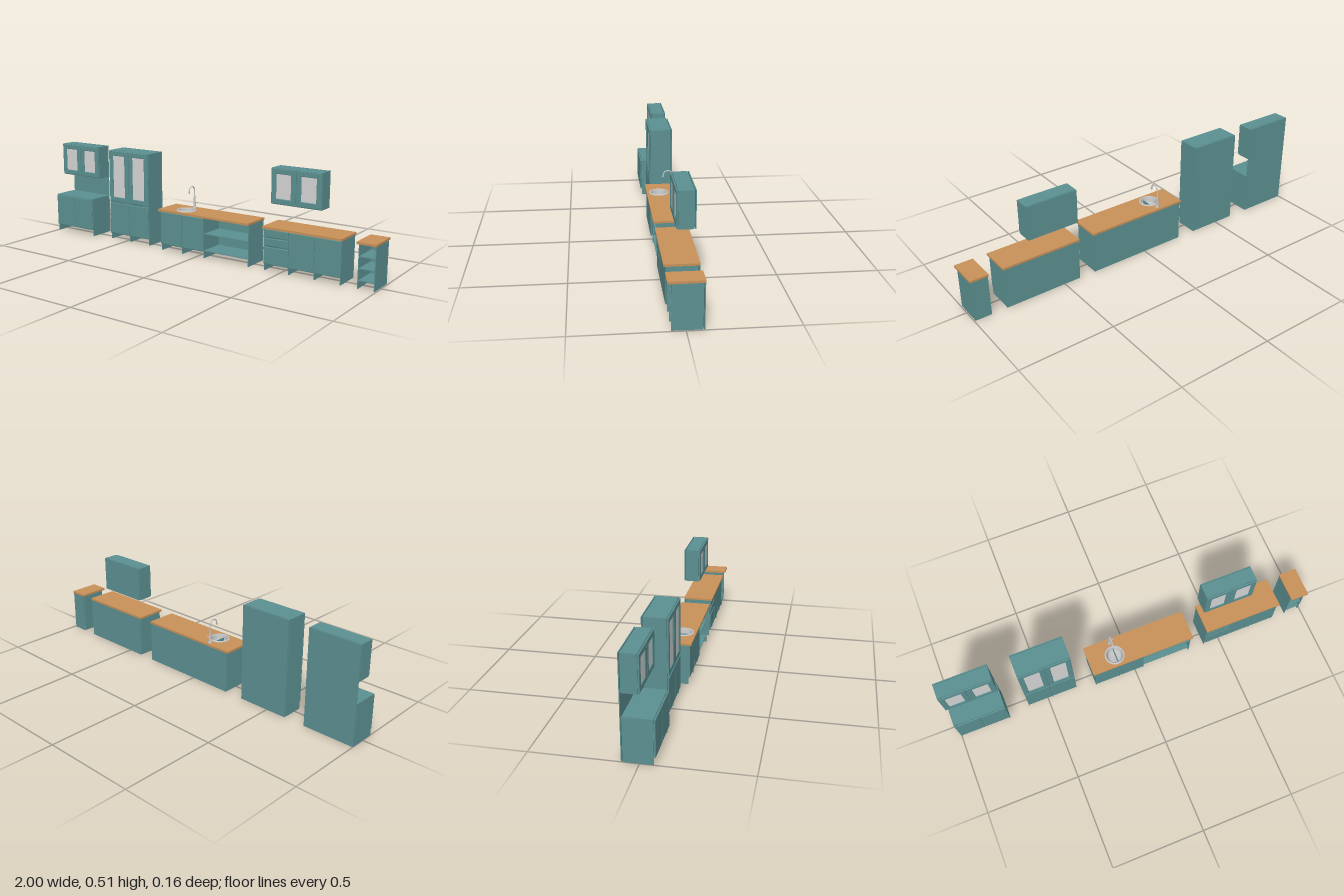
import * as THREE from 'three';

const mat = (name, color) => {
  const m = new THREE.MeshStandardMaterial({ color });
  m.name = name;
  return m;
};

export function createModel() {
  const teal = mat('teal paint', 0x5c9091);
  const wood = mat('oak worktop', 0xc8925a);
  const metal = mat('brushed steel', 0xc4c4c4);
  const glass = mat('frosted glass', 0xd6d6d6);
  const root = new THREE.Group();
  const T = 0.004, BACK = -0.073, FLOOR = 0.038, BASE = 0.217, TOP = 0.508;

  const add = (parent, name, geo, m) => {
    const mesh = new THREE.Mesh(geo, m);
    mesh.name = name;
    parent.add(mesh);
    return mesh;
  };
  // Box given by its minimum and maximum on each axis
  const box = (parent, name, x0, x1, y0, y1, z0, z1, m = teal) => {
    const mesh = add(parent, name, new THREE.BoxGeometry(x1 - x0, y1 - y0, z1 - z0), m);
    mesh.position.set((x0 + x1) / 2, (y0 + y1) / 2, (z0 + z1) / 2);
  };
  const rect = (C, x0, x1, y0, y1) => new C([
    [x0, y0], [x1, y0], [x1, y1], [x0, y1],
  ].map(p => new THREE.Vector2(...p)));
  const unit = name => {
    const g = new THREE.Group();
    g.name = name;
    root.add(g);
    return g;
  };

  // Bevelled door or drawer front, optionally framing a pane
  const front = (g, name, x0, x1, y0, y1, z, pane) => {
    const e = 0.001, b = 0.003, f = 0.028;
    const s = rect(THREE.Shape, x0 + e, x1 - e, y0 + e, y1 - e);
    if (pane) s.holes.push(rect(THREE.Path, x0 + f, x1 - f, y0 + f, y1 - f));
    const geo = new THREE.ExtrudeGeometry(s, {
      depth: 0.002, bevelThickness: b, bevelSize: b, bevelOffset: -b, bevelSegments: 2,
    });
    add(g, name, geo, teal).position.z = z + b + 0.0005;
    if (pane) box(g, 'pane', x0 + f - 0.004, x1 - f + 0.004, y0 + f - 0.004, y1 - f + 0.004, z + 0.002, z + 0.004, glass);
  };
  const pair = (g, x0, x1, y0, y1, z, pane) => {
    const c = (x0 + x1) / 2;
    front(g, 'leftDoor', x0, c, y0, y1, z, pane);
    front(g, 'rightDoor', c, x1, y0, y1, z, pane);
  };

  // Open carcass: sides, dividers and horizontal boards
  const carcass = (g, x0, x1, y0, y1, z, dividers, boards) => {
    [x0, ...dividers.map(d => d - T / 2), x1 - T].forEach(x =>
      box(g, 'upright', x, x + T, y0, y1, BACK, z));
    boards.forEach(y => box(g, 'board', x0 + T, x1 - T, y, y + T, BACK, z - 0.0005));
  };
  const backPanel = (g, x0, x1, y0, y1) => box(g, 'backPanel', x0, x1, y0, y1, -0.081, -0.0765);

  // Dresser: low cupboard, back panel and glazed wall cupboard
  const dresser = unit('dresser');
  carcass(dresser, -1, -0.725, 0, BASE, 0.063, [], [FLOOR, BASE - T]);
  carcass(dresser, -1, -0.725, 0.327, TOP, 0, [], [0.327, TOP - T]);
  backPanel(dresser, -1, -0.725, 0, TOP);
  pair(dresser, -1, -0.725, 0.035, 0.215, 0.063);
  pair(dresser, -1, -0.725, 0.329, TOP, 0, true);

  // Tall glazed cupboard
  const tall = unit('tallCupboard');
  carcass(tall, -0.61, -0.335, 0, TOP, 0.037, [-0.4725], [FLOOR, BASE, TOP - T]);
  backPanel(tall, -0.61, -0.335, 0, TOP);
  pair(tall, -0.61, -0.335, 0.035, 0.215, 0.037);
  pair(tall, -0.61, -0.335, 0.219, TOP, 0.037, true);

  // Sink unit with an open shelf bay
  const sinkUnit = unit('sinkUnit');
  carcass(sinkUnit, -0.23, 0.32, 0, BASE, 0.063, [-0.092, 0.047], [FLOOR]);
  box(sinkUnit, 'middleShelf', 0.049, 0.316, 0.128, 0.132, BACK, 0.062);
  backPanel(sinkUnit, -0.23, 0.32, 0, BASE);
  pair(sinkUnit, -0.23, 0.047, 0.035, 0.215, 0.063);

  // Worktop with a round cut-out for the bowl
  const SX = -0.098, SZ = 0.015;
  const slab = rect(THREE.Shape, -0.24, 0.324, -0.08, 0.081);
  slab.holes.push(new THREE.Path().absarc(SX, -SZ, 0.045, 0, Math.PI * 2));
  const slabGeo = new THREE.ExtrudeGeometry(slab, { depth: 0.011, bevelEnabled: false, curveSegments: 24 });
  slabGeo.rotateX(-Math.PI / 2);
  add(sinkUnit, 'worktop', slabGeo, wood).position.y = BASE;

  // Round sink bowl with a rolled rim and drain
  const sink = new THREE.Group();
  sink.name = 'sink';
  sink.position.set(SX, 0.228, SZ);
  sinkUnit.add(sink);
  const bowl = [[0.001, -0.036], [0.028, -0.036], [0.036, -0.03], [0.04, -0.018], [0.042, 0.003],
    [0.046, 0.005], [0.052, 0.004], [0.053, 0]].map(p => new THREE.Vector2(...p));
  const steelBowl = add(sink, 'bowl', new THREE.LatheGeometry(bowl, 40), metal.clone());
  steelBowl.material = metal;
  metal.side = THREE.DoubleSide;
  add(sink, 'drain', new THREE.CylinderGeometry(0.006, 0.006, 0.002, 20), metal).position.y = -0.035;

  // Swan-neck tap
  const tap = new THREE.Group();
  tap.name = 'tap';
  tap.position.set(SX, 0.228, -0.058);
  sinkUnit.add(tap);
  const stem = [[0.011, 0], [0.011, 0.004], [0.007, 0.01], [0.0065, 0.03], [0.004, 0.06], [0.003, 0.085]]
    .map(p => new THREE.Vector2(...p));
  add(tap, 'stem', new THREE.LatheGeometry(stem, 20), metal);
  const neck = new THREE.CatmullRomCurve3([[0, 0.07, 0], [0, 0.1, 0.001], [0, 0.117, 0.012],
    [0, 0.12, 0.028], [0, 0.112, 0.043], [0, 0.09, 0.051]].map(p => new THREE.Vector3(...p)));
  add(tap, 'neck', new THREE.TubeGeometry(neck, 32, 0.0032, 12), metal);
  const nozzle = add(tap, 'nozzle', new THREE.CylinderGeometry(0.0042, 0.0048, 0.012, 14), metal);
  nozzle.position.set(0, 0.092, 0.05);
  nozzle.rotation.x = -0.3;
  const lever = add(tap, 'lever', new THREE.CylinderGeometry(0.0018, 0.0025, 0.02, 10), metal);
  lever.position.set(0.013, 0.03, 0);
  lever.rotation.z = -1.1;

  // Drawer unit with two doors
  const drawers = unit('drawerUnit');
  carcass(drawers, 0.41, 0.825, 0, BASE, 0.063, [0.548, 0.686], [FLOOR]);
  backPanel(drawers, 0.41, 0.825, 0, BASE);
  [[0.035, 0.126], [0.129, 0.171], [0.174, 0.215]].forEach(([y0, y1]) =>
    front(drawers, 'drawerFront', 0.41, 0.548, y0, y1, 0.063));
  pair(drawers, 0.548, 0.825, 0.035, 0.215, 0.063);
  box(drawers, 'worktop', 0.405, 0.83, BASE, 0.228, -0.081, 0.08, wood);

  // Glazed wall cupboard
  const wall = unit('wallCupboard');
  carcass(wall, 0.41, 0.685, 0.327, TOP, 0, [], [0.327, TOP - T]);
  backPanel(wall, 0.41, 0.685, 0.327, TOP);
  pair(wall, 0.41, 0.685, 0.329, TOP, 0, true);

  // Narrow open shelf unit
  const shelves = unit('shelfUnit');
  carcass(shelves, 0.908, 0.994, 0, BASE, 0.063, [], [FLOOR, 0.095, 0.153]);
  backPanel(shelves, 0.908, 0.994, 0, BASE);
  box(shelves, 'worktop', 0.903, 1, BASE, 0.228, -0.081, 0.08, wood);

  return root;
}
